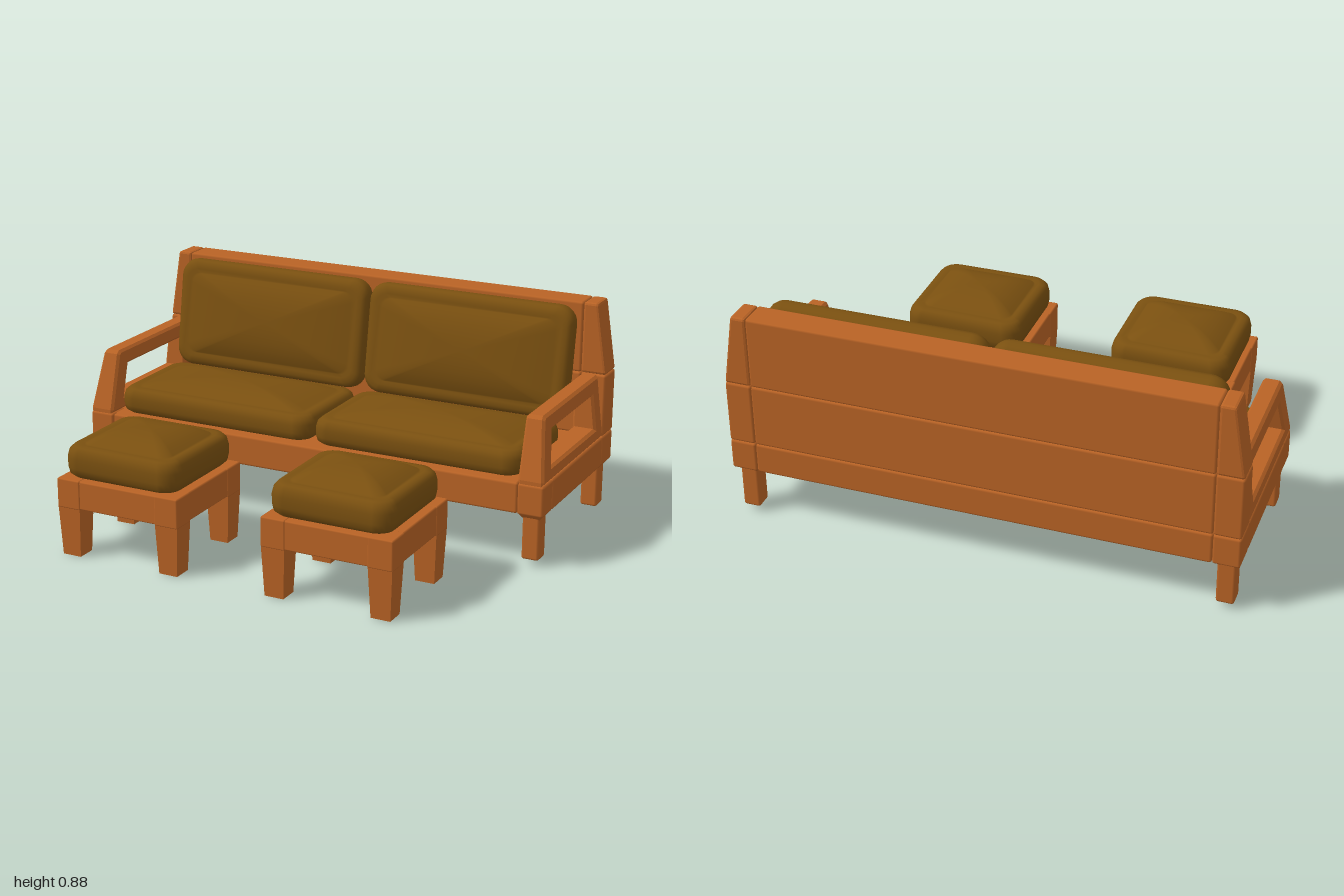
import * as THREE from 'three';
import { RoundedBoxGeometry } from 'three/addons/geometries/RoundedBoxGeometry.js';

const wood = new THREE.MeshStandardMaterial({ color: 0xb96325 });
wood.name = 'wood';
const fabric = new THREE.MeshStandardMaterial({ color: 0x7a5010 });
fabric.name = 'fabric';

function add(parent, name, geometry, material = wood) {
  const mesh = new THREE.Mesh(geometry, material);
  mesh.name = name;
  parent.add(mesh);
  return mesh;
}

// Softened box given by its minimum and maximum corners
function block(x0, x1, y0, y1, z0, z1, r = 0.01) {
  const g = new RoundedBoxGeometry(x1 - x0, y1 - y0, z1 - z0, 1, r);
  return g.translate((x0 + x1) / 2, (y0 + y1) / 2, (z0 + z1) / 2);
}

// Pull the outer face inward as it rises from y0 to y1
function taperOuter(g, y0, y1, amount) {
  const p = g.attributes.position;
  for (let i = 0; i < p.count; i++) {
    const x = p.getX(i);
    if (Math.abs(x) > 0.95) p.setX(i, x - Math.sign(x) * amount * (p.getY(i) - y0) / (y1 - y0));
  }
  g.computeVertexNormals();
  return g;
}

// Four-sided tapered post
function frustum(topW, bottomW, y0, y1, x, z) {
  const g = new THREE.CylinderGeometry(topW / Math.SQRT2, bottomW / Math.SQRT2, y1 - y0, 4).toNonIndexed();
  g.rotateY(Math.PI / 4).translate(x, (y0 + y1) / 2, z);
  g.computeVertexNormals();
  return g;
}

// Pillow: stacked rounded-rectangle rings, a seam crease, then a domed top
function cushion(width, depth, side, dome) {
  const pos = [], idx = [], seg = 6, n = 4 * (seg + 1);
  const ring = (hw, hd, r, y) => {
    for (let k = 0; k < 4; k++) {
      const sx = k === 0 || k === 3 ? 1 : -1, sz = k < 2 ? 1 : -1;
      for (let t = 0; t <= seg; t++) {
        const a = (k + t / seg) * Math.PI / 2;
        pos.push(sx * (hw - r) + r * Math.cos(a), y, -(sz * (hd - r) + r * Math.sin(a)));
      }
    }
  };
  const profile = [[0.05, 0], [0.02, 0.04], [0.005, 0.15], [0, 0.35], [0, 0.65], [0.006, 0.85],
    [0.02, 0.97], [0.04, 1], [0.054, 0.97]];
  for (const [inset, y] of profile) ring(width / 2 - inset, depth / 2 - inset, 0.07 - inset * 0.5, y * side);
  const hw = width / 2 - 0.054, hd = depth / 2 - 0.054;
  const scales = [0.97, 0.85, 0.7, 0.5, 0.25];
  const domeY = s => side * 0.97 + dome * (1 - s ** 2.6);
  for (const s of scales) ring(hw * s, hd * s, 0.043 * s, domeY(s));
  const rings = profile.length + scales.length, bottom = rings * n, top = bottom + 1;
  pos.push(0, 0, 0, 0, domeY(0), 0);
  for (let j = 0; j < n; j++) {
    const k = (j + 1) % n;
    for (let i = 0; i < rings - 1; i++) {
      const a = i * n + j, b = i * n + k;
      idx.push(a, b, a + n, b, b + n, a + n);
    }
    idx.push(bottom, k, j, (rings - 1) * n + j, (rings - 1) * n + k, top);
  }
  const g = new THREE.BufferGeometry();
  g.setAttribute('position', new THREE.Float32BufferAttribute(pos, 3));
  g.setIndex(idx);
  g.computeVertexNormals();
  return g;
}

// Open arm frame with a slanted front and a window
function armGeometry(outerX) {
  const points = list => list.map(([z, y]) => new THREE.Vector2(z, y));
  const shape = new THREE.Shape(points([[0.042, 0.335], [0.042, 0.35], [-0.02, 0.575], [-0.035, 0.588],
    [-0.615, 0.588], [-0.615, 0.335]]));
  shape.holes.push(new THREE.Path(points([[-0.055, 0.388], [-0.538, 0.388], [-0.538, 0.52], [-0.092, 0.52]])));
  const g = new THREE.ExtrudeGeometry(shape, {
    depth: 0.085, bevelThickness: 0.01, bevelSize: 0.01, bevelOffset: -0.01, bevelSegments: 1,
  });
  g.rotateY(-Math.PI / 2).translate(outerX - 0.01, 0, 0);
  return taperOuter(g, 0.335, 0.588, 0.032);
}

function createSofa() {
  const sofa = new THREE.Group();
  sofa.name = 'sofa';
  // Base frame and deck
  add(sofa, 'deck', block(-0.92, 0.92, 0.214, 0.332, -0.7, 0.01, 0.004));
  add(sofa, 'frontRail', block(-0.895, 0.895, 0.21, 0.335, -0.06, 0.038));
  // Back made of three stacked panels
  const levels = [0.21, 0.335, 0.59, 0.878];
  for (let i = 0; i < 3; i++) {
    add(sofa, 'backPanel', block(-0.895, 0.895, levels[i], levels[i + 1], -0.73, -0.612));
  }
  add(sofa, 'backCore', block(-0.93, 0.93, 0.23, 0.86, -0.715, -0.63, 0.004));
  for (const s of [-1, 1]) {
    const span = (a, b) => (s > 0 ? [a, b] : [-b, -a]);
    const [x0, x1] = span(0.895, 1);
    // Side rail with its corner blocks
    add(sofa, 'sideRail', block(x0, x1, 0.21, 0.335, -0.612, -0.06));
    add(sofa, 'frontCorner', block(x0, x1, 0.21, 0.335, -0.06, 0.042));
    add(sofa, 'backCorner', block(x0, x1, 0.21, 0.335, -0.73, -0.612));
    // Back post, tapering at the top
    add(sofa, 'lowerPost', block(x0, x1, 0.335, 0.59, -0.73, -0.612));
    add(sofa, 'upperPost', taperOuter(block(x0, x1, 0.59, 0.878, -0.73, -0.612), 0.59, 0.878, 0.045));
    add(sofa, 'arm', armGeometry(s > 0 ? 1 : -0.895));
    // Legs with flared collars
    for (const z of [-0.018, -0.667]) {
      const x = s * 0.945;
      add(sofa, 'leg', block(x - 0.035, x + 0.035, 0.025, 0.21, z - 0.037, z + 0.037));
      add(sofa, 'legCollar', frustum(0.1, 0.07, 0.193, 0.214, x, z));
    }
    // Cushions
    add(sofa, 'seatCushion', cushion(0.882, 0.47, 0.108, 0.045), fabric).position.set(s * 0.446, 0.333, -0.225);
    const back = add(sofa, 'backCushion', cushion(0.882, 0.455, 0.092, 0.038), fabric);
    back.rotation.x = THREE.MathUtils.degToRad(81);
    back.position.set(s * 0.446, 0.64, -0.573);
  }
  return sofa;
}

function createOttoman() {
  const ottoman = new THREE.Group();
  ottoman.name = 'ottoman';
  const hw = 0.265, hd = 0.241;
  // Frame: inset panel body with corner blocks
  add(ottoman, 'frame', block(-hw + 0.004, hw - 0.004, 0.196, 0.31, -hd + 0.004, hd - 0.004, 0.006));
  for (const sx of [-1, 1]) {
    for (const sz of [-1, 1]) {
      const x = sx * (hw - 0.05), z = sz * (hd - 0.05);
      add(ottoman, 'cornerBlock', block(x - 0.05, x + 0.05, 0.194, 0.312, z - 0.05, z + 0.05, 0.006));
      add(ottoman, 'leg', frustum(0.096, 0.078, 0, 0.198, x, z));
    }
  }
  add(ottoman, 'cushion', cushion(0.495, 0.468, 0.128, 0.05), fabric).position.y = 0.312;
  return ottoman;
}

export function createModel() {
  const model = new THREE.Group();
  model.name = 'sofaSet';
  model.add(createSofa());
  for (const s of [-1, 1]) {
    const ottoman = createOttoman();
    ottoman.position.set(s * 0.44, 0, 0.489);
    model.add(ottoman);
  }
  return model;
}
